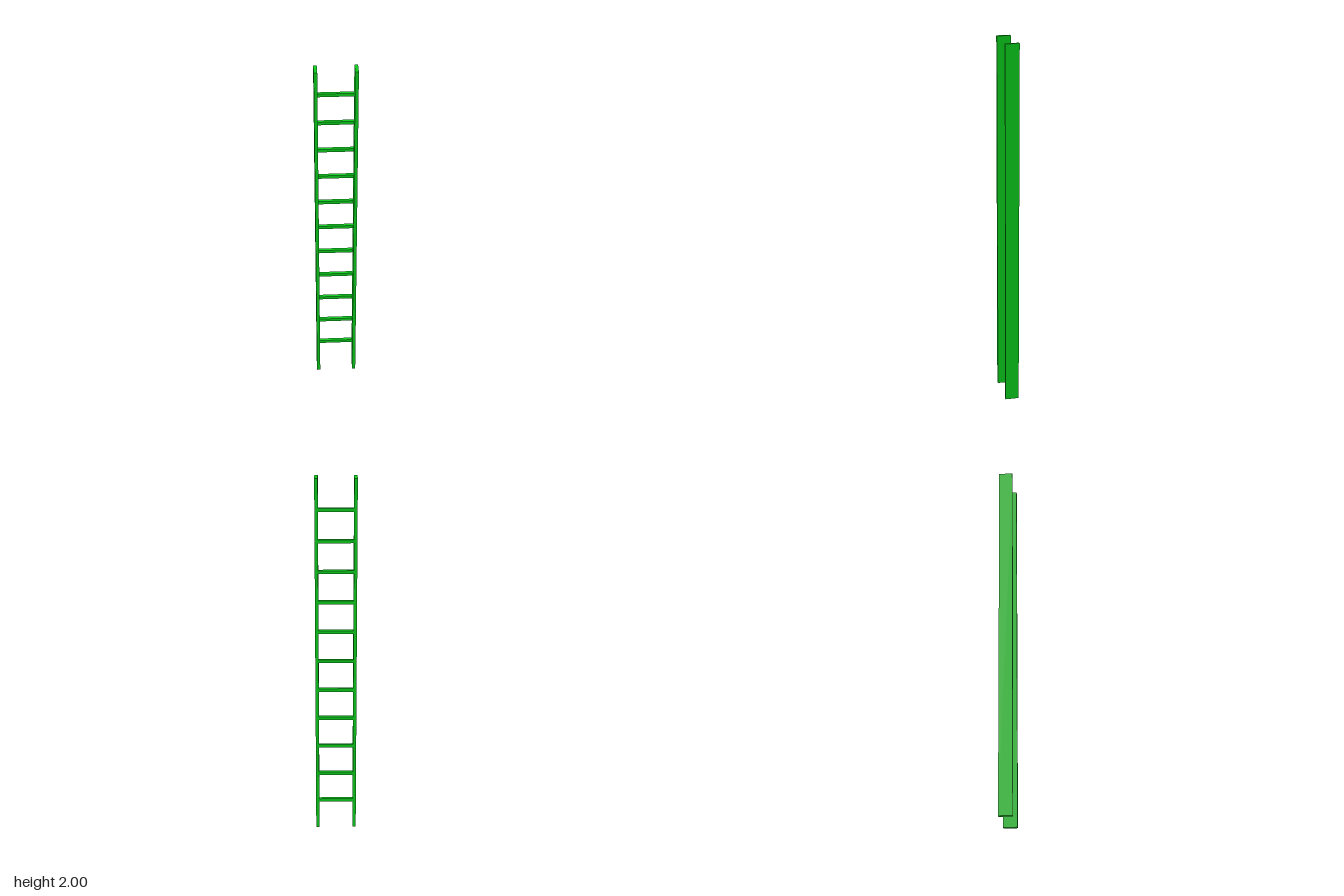
import * as THREE from 'three';

export function createModel() {
  const ladder = new THREE.Group();
  ladder.name = 'ladder';
  const green = new THREE.MeshStandardMaterial({ color: 0x0ccc1c });

  const height = 2, width = 0.222, depth = 0.074, thickness = 0.018;

  function addBox(name, size, position) {
    const mesh = new THREE.Mesh(new THREE.BoxGeometry(...size), green);
    mesh.name = name;
    mesh.position.set(...position);
    ladder.add(mesh);
  }

  // Two upright side rails
  for (const side of [-1, 1]) {
    addBox(side > 0 ? 'leftRail' : 'rightRail',
      [thickness, height, depth],
      [side * (width - thickness) / 2, height / 2, 0]);
  }

  // Eleven evenly spaced square rungs, flush with the back of the rails
  const rungCount = 11;
  const spacing = height / (rungCount + 1);
  for (let i = 1; i <= rungCount; i++) {
    addBox(`rung${i}`,
      [width - 2 * thickness, thickness, thickness],
      [0, i * spacing + 0.002, (thickness - depth) / 2]);
  }

  return ladder;
}
